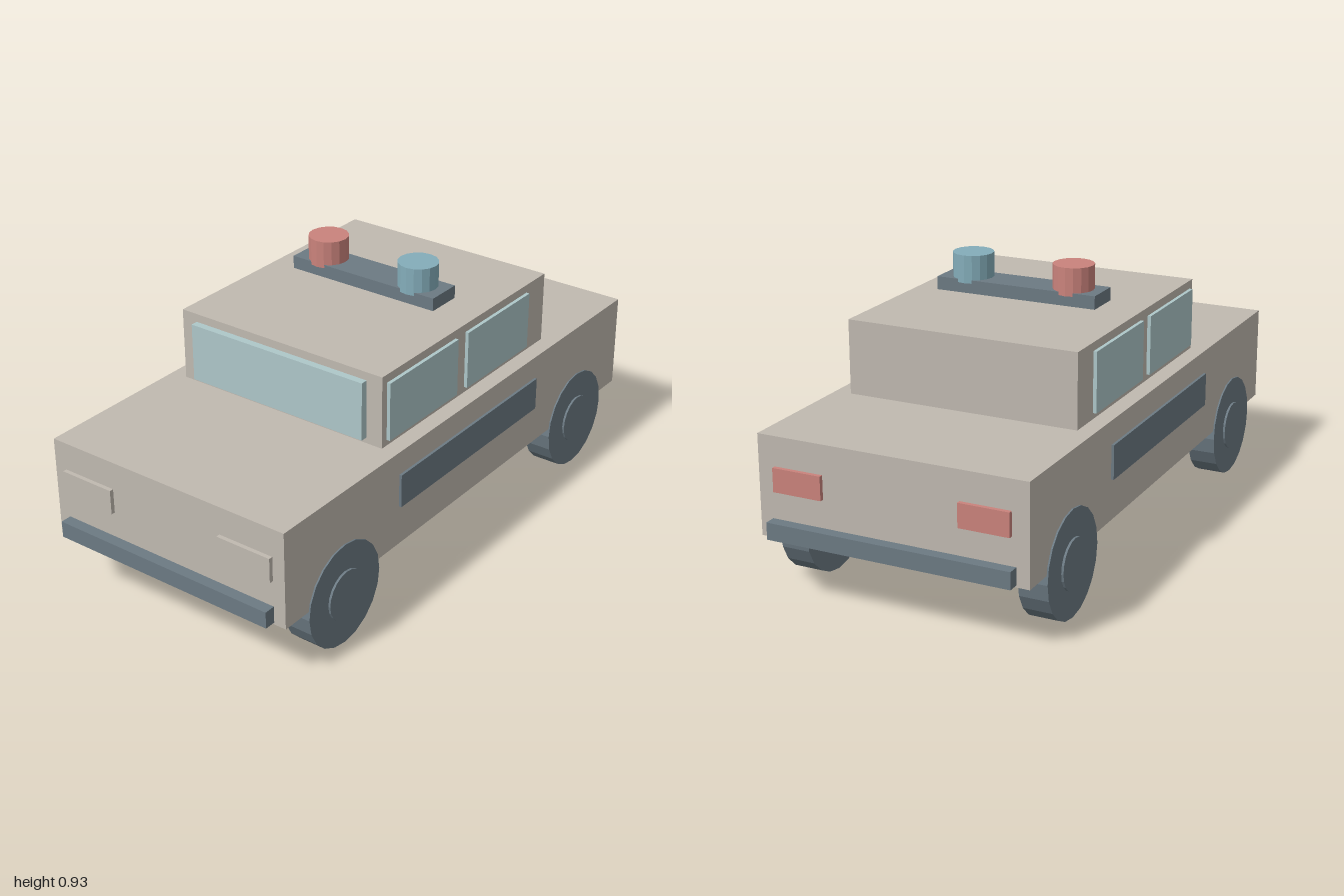
import * as THREE from 'three';

const paint = (name, color) => {
  const m = new THREE.MeshStandardMaterial({ color, flatShading: true });
  m.name = name;
  return m;
};

export function createModel() {
  const car = new THREE.Group();
  car.name = 'patrolCar';
  const body = paint('bodyBeige', 0xc0b9b0);
  const dark = paint('slateGrey', 0x6c7a83);
  const glass = paint('paleGlass', 0xaec7c9);
  const red = paint('signalRed', 0xca837c);
  const blue = paint('signalBlue', 0x84adba);

  const add = (name, geometry, material) => {
    const mesh = new THREE.Mesh(geometry, material);
    mesh.name = name;
    car.add(mesh);
    return mesh;
  };
  // Box given by its lower and upper limits on each axis
  const box = (name, material, [x0, x1], [y0, y1], [z0, z1]) =>
    add(name, new THREE.BoxGeometry(x1 - x0, y1 - y0, z1 - z0), material)
      .position.set((x0 + x1) / 2, (y0 + y1) / 2, (z0 + z1) / 2);
  // Limits mirrored across an axis when s is -1
  const flip = (s, a, b) => (s > 0 ? [a, b] : [-b, -a]);

  // Lower body, cabin and windscreen
  box('lowerBody', body, [-0.454, 0.454], [0.205, 0.535], [-0.962, 0.962]);
  box('cabin', body, [-0.397, 0.397], [0.53, 0.781], [-0.523, 0.41]);
  box('windscreen', glass, [-0.339, 0.339], [0.555, 0.753], [0.4, 0.435]);

  for (const s of [1, -1]) {
    const side = s > 0 ? 'left' : 'right';
    // Side windows and door panel
    box(side + 'FrontWindow', glass, flip(s, 0.39, 0.409), [0.555, 0.753], [0.014, 0.385]);
    box(side + 'RearWindow', glass, flip(s, 0.39, 0.409), [0.555, 0.753], [-0.41, -0.043]);
    box(side + 'DoorPanel', dark, flip(s, 0.445, 0.463), [0.342, 0.456], [-0.395, 0.396]);

    // Lamps
    box(side + 'Headlight', body, flip(s, 0.212, 0.41), [0.357, 0.44], [0.95, 0.976]);
    box(side + 'TailLight', red, flip(s, 0.23, 0.397), [0.36, 0.438], [-0.976, -0.95]);

    // Front bumper for s = 1, rear bumper for s = -1
    box(s > 0 ? 'frontBumper' : 'rearBumper', dark,
      [-0.411, 0.411], [0.212, 0.268], flip(s, 0.95, 1));

    // Wheels with raised hubs
    for (const z of [0.682, -0.682]) {
      const name = side + (z > 0 ? 'Front' : 'Rear');
      const tyre = new THREE.CylinderGeometry(0.176, 0.176, 0.097, 20).rotateZ(Math.PI / 2);
      add(name + 'Wheel', tyre, dark).position.set(s * 0.411, 0.176, z);
      const hub = new THREE.CylinderGeometry(0.084, 0.084, 0.02, 20).rotateZ(Math.PI / 2);
      add(name + 'Hub', hub, dark).position.set(s * 0.457, 0.176, z);
    }

    // Roof beacons: blue on the left, red on the right
    const beacon = new THREE.CylinderGeometry(0.068, 0.068, 0.093, 16);
    add(side + 'Beacon', beacon, s > 0 ? blue : red).position.set(s * 0.181, 0.8805, -0.086);
  }

  // Beacon bar raised just above the roof
  box('beaconBar', dark, [-0.283, 0.283], [0.801, 0.845], [-0.149, -0.024]);
  return car;
}
